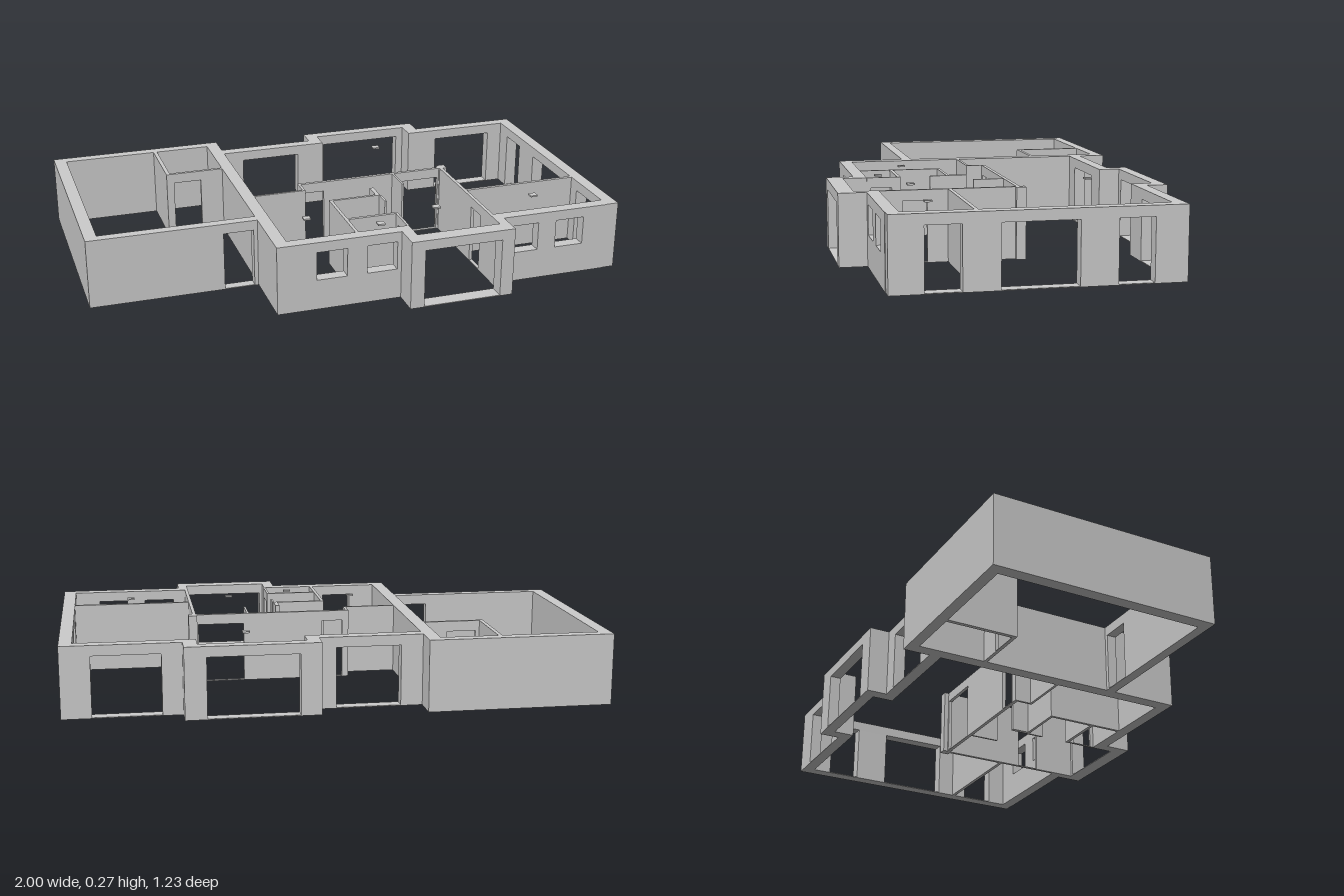
import * as THREE from 'three';

const HEIGHT = 0.267, HEAD = 0.228, THRESHOLD = 0.003;
const material = new THREE.MeshStandardMaterial({ color: 0xcccccc, flatShading: true });

// Wall over a plan rectangle; openings are [from, to, sill] along its longer side
function wall(parent, name, x0, x1, z0, z1, openings = []) {
  const alongX = x1 - x0 >= z1 - z0;
  const [a, b, depth] = alongX ? [x0, x1, z1 - z0] : [z0, z1, x1 - x0];
  const rect = (Type, l, r, low, high) => new Type([
    new THREE.Vector2(l, low), new THREE.Vector2(r, low),
    new THREE.Vector2(r, high), new THREE.Vector2(l, high),
  ]);
  const shape = rect(THREE.Shape, a, b, 0, HEIGHT);
  for (const [l, r, sill = THRESHOLD] of openings) shape.holes.push(rect(THREE.Path, l, r, sill, HEAD));
  const geometry = new THREE.ExtrudeGeometry(shape, { depth, bevelEnabled: false });
  if (alongX) geometry.translate(0, 0, z0);
  else geometry.rotateY(-Math.PI / 2).translate(x1, 0, 0);
  const mesh = new THREE.Mesh(geometry, material);
  mesh.name = name;
  parent.add(mesh);
}

function section(model, name) {
  const group = new THREE.Group();
  group.name = name;
  model.add(group);
  return group;
}

export function createModel() {
  const model = new THREE.Group();
  model.name = 'floorPlanHouse';
  const W = 0.118; // window sill height

  // Side wing
  const wing = section(model, 'sideWing');
  wall(wing, 'wingOuterWall', -1, -0.953, -0.615, 0.249);
  wall(wing, 'wingBackWall', -0.953, -0.36, -0.615, -0.574);
  wall(wing, 'wingFrontWall', -0.953, -0.36, 0.211, 0.249, [[-0.49, -0.375]]);
  wall(wing, 'closetSideWall', -0.59, -0.575, -0.574, -0.303);
  wall(wing, 'closetFrontWall', -0.575, -0.36, -0.316, -0.303, [[-0.56, -0.45]]);

  // Main outer walls
  const outer = section(model, 'outerWalls');
  wall(outer, 'dividingWall', -0.36, -0.311, -0.615, 0.512);
  wall(outer, 'sideWall', 0.952, 1, -0.512, 0.51,
    [[-0.395, -0.268], [-0.135, 0.134], [0.264, 0.39]]);
  wall(outer, 'backWallRight', -0.311, 0.073, -0.512, -0.467, [[-0.23, 0.01]]);
  wall(outer, 'backWallLeft', 0.565, 0.952, -0.512, -0.467, [[0.64, 0.89]]);
  wall(outer, 'frontWallRight', -0.311, 0.116, 0.465, 0.512,
    [[-0.21, -0.093, W], [-0.016, 0.1, W]]);
  wall(outer, 'frontWallLeft', 0.522, 0.952, 0.465, 0.512,
    [[0.547, 0.667, W], [0.74, 0.855, W]]);

  // Projecting bay at the back
  const bay = section(model, 'backBay');
  wall(bay, 'bayWall', 0.121, 0.514, -0.59, -0.547, [[0.15, 0.485]]);
  wall(bay, 'bayRightSide', 0.073, 0.121, -0.59, -0.467);
  wall(bay, 'bayLeftSide', 0.514, 0.565, -0.59, -0.467);

  // Projecting entrance at the front
  const porch = section(model, 'entrance');
  wall(porch, 'entranceWall', 0.159, 0.485, 0.555, 0.615, [[0.17, 0.472]]);
  wall(porch, 'entranceRightSide', 0.116, 0.159, 0.465, 0.615);
  wall(porch, 'entranceLeftSide', 0.485, 0.522, 0.465, 0.615);

  // Thin inner partitions
  const inner = section(model, 'partitions');
  wall(inner, 'bedroomPartition', -0.311, -0.115, 0.015, 0.025);
  wall(inner, 'partitionReturn', -0.115, -0.105, -0.038, 0.025);
  wall(inner, 'livingRoomPartition', -0.115, 0.485, -0.052, -0.038, [[-0.09, -0.01], [0.3, 0.476]]);
  wall(inner, 'cornerPost', 0.482, 0.515, -0.07, -0.034);
  wall(inner, 'hallSidePartition', 0.485, 0.498, -0.034, 0.465, [[0.292, 0.381]]);
  wall(inner, 'kitchenPartition', 0.498, 0.952, 0.202, 0.216);
  wall(inner, 'hallScreen', 0.279, 0.287, -0.038, 0.078);
  wall(inner, 'hallStub', 0.142, 0.158, 0.078, 0.158);
  wall(inner, 'hallDoorWall', 0.154, 0.162, 0.158, 0.222);
  wall(inner, 'bathBackPartition', -0.036, 0.142, 0.147, 0.158);
  wall(inner, 'bathSidePartition', -0.048, -0.036, 0.147, 0.465);
  wall(inner, 'bathMiddlePartition', -0.036, 0.153, 0.335, 0.348);
  wall(inner, 'bathFrontPartition', 0.153, 0.162, 0.335, 0.465, [[0.37, 0.45]]);

  // Small flat ceiling lights
  const lights = section(model, 'ceilingLights');
  const lightGeometry = new THREE.BoxGeometry(0.028, 0.006, 0.028);
  for (const [x, z] of [[0.322, -0.358], [-0.178, 0.28], [0.07, 0.41], [0.325, 0.324], [0.727, 0.33]]) {
    const light = new THREE.Mesh(lightGeometry, material);
    light.name = 'ceilingLight';
    light.position.set(x, HEIGHT - 0.004, z);
    lights.add(light);
  }
  return model;
}
